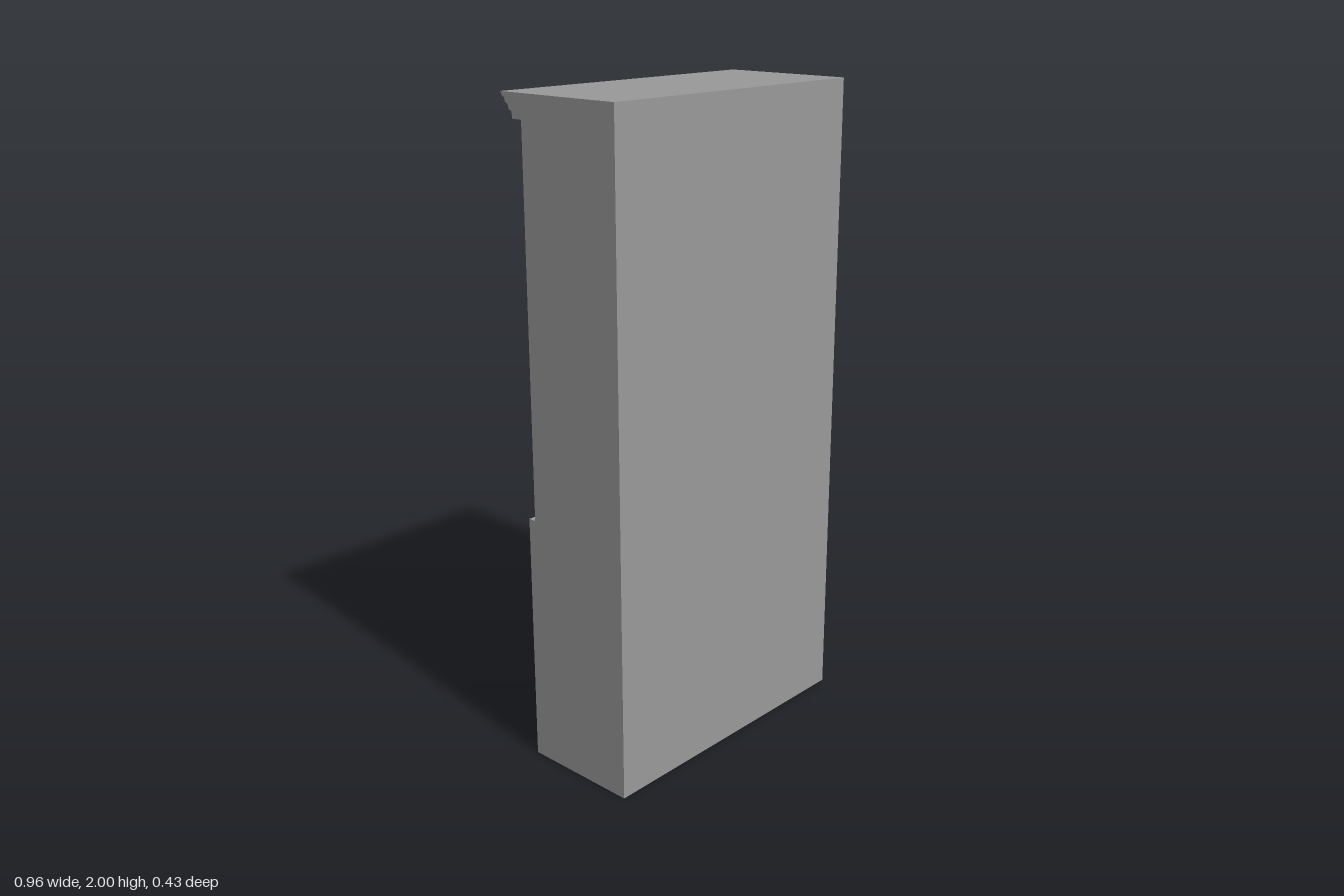
import * as THREE from 'three';

export function createModel() {
  const group = new THREE.Group();
  const paint = new THREE.MeshStandardMaterial({ color: 0x999999 });
  paint.name = 'grey paint';

  const add = (name, geometry) => {
    const mesh = new THREE.Mesh(geometry, paint);
    mesh.name = name;
    group.add(mesh);
    return mesh;
  };
  const box = (name, x0, x1, y0, y1, z0, z1) => add(name,
    new THREE.BoxGeometry(x1 - x0, y1 - y0, z1 - z0)
      .translate((x0 + x1) / 2, (y0 + y1) / 2, (z0 + z1) / 2));
  const polygon = (points) => points.map(([x, y]) => new THREE.Vector2(x, y));
  const rect = (x0, x1, y0, y1) => new THREE.Path(polygon([[x0, y0], [x1, y0], [x1, y1], [x0, y1]]));
  const plate = (name, shape, z0, z1) => add(name,
    new THREE.ExtrudeGeometry(shape, { depth: z1 - z0, bevelEnabled: false, curveSegments: 12 })
      .translate(0, 0, z0));

  // Nested rectangles [x0, x1, y0, y1, z] joined by slopes and capped, facing -z
  const steppedPanel = (steps) => {
    const loops = steps.map(([x0, x1, y0, y1, z]) => [[x0, y0, z], [x1, y0, z], [x1, y1, z], [x0, y1, z]]);
    const pos = [];
    const quad = (a, b, c, d) => pos.push(...a, ...b, ...c, ...a, ...c, ...d);
    for (let k = 0; k + 1 < loops.length; k++) {
      const A = loops[k], B = loops[k + 1];
      for (let i = 0; i < 4; i++) {
        if (i === 0 && A[0][1] === B[0][1]) continue; // open at the floor
        const j = (i + 1) % 4;
        quad(A[i], B[i], B[j], A[j]);
      }
    }
    const [a, b, c, d] = loops[loops.length - 1];
    quad(a, d, c, b);
    const g = new THREE.BufferGeometry();
    g.setAttribute('position', new THREE.Float32BufferAttribute(pos, 3));
    g.computeVertexNormals();
    return g;
  };

  const W = 0.48, IN = 0.35, BACK = 0.215;

  // Carcass
  box('baseCabinet', -W, W, 0, 0.78, -0.11, BACK);
  box('leftSide', IN, W, 0.78, 2, -0.115, BACK);
  box('rightSide', -W, -IN, 0.78, 2, -0.115, BACK);
  box('backPanel', -IN, IN, 0.78, 2, 0.13, BACK);
  box('topPanel', -IN, IN, 1.89, 2, -0.115, 0.13);

  // Shelves
  const shelves = [[1.117, 1.17], [1.507, 1.56]];
  for (const [y0, y1] of shelves) box('shelf', -IN, IN, y0, y1, -0.12, 0.13);

  // Upper face frame with two square openings, an arched one and a groove on each side
  const frame = new THREE.Shape(polygon([[-W, 0.77], [W, 0.77], [W, 1.94], [-W, 1.94]]));
  frame.holes.push(rect(-IN, IN, 0.785, 1.117), rect(-IN, IN, 1.17, 1.507));
  const arch = new THREE.Path();
  arch.moveTo(-IN, 1.56);
  arch.lineTo(IN, 1.56);
  arch.lineTo(IN, 1.727);
  arch.lineTo(0.327, 1.727);
  arch.absellipse(0.192, 1.727, 0.135, 0.138, 0, Math.PI / 2, false);
  arch.lineTo(0.192, 1.89);
  arch.lineTo(-0.192, 1.89);
  arch.lineTo(-0.192, 1.865);
  arch.absellipse(-0.192, 1.727, 0.135, 0.138, Math.PI / 2, Math.PI, false);
  arch.lineTo(-IN, 1.727);
  arch.closePath();
  frame.holes.push(arch, rect(0.395, 0.437, 0.828, 1.83), rect(-0.437, -0.395, 0.828, 1.83));
  plate('faceFrame', frame, -0.135, -0.115);

  // Crown moulding: profile of [distance forward, height] swept across the width
  const crown = new THREE.Shape(polygon([
    [0.115, 1.93], [0.17, 1.93], [0.173, 1.95], [0.183, 1.955], [0.188, 1.968],
    [0.198, 1.974], [0.2, 1.985], [0.209, 1.988], [0.215, 2], [0.115, 2],
  ]));
  add('crownMoulding', new THREE.ExtrudeGeometry(crown, { depth: 2 * W, bevelEnabled: false })
    .translate(0, 0, -W).rotateY(Math.PI / 2));

  // Lower frame: rail and three stiles
  const D0 = 0.035, D1 = 0.414, DT = 0.748;
  plate('lowerFrame', new THREE.Shape(polygon([
    [-W, 0], [-D1, 0], [-D1, DT], [-D0, DT], [-D0, 0], [D0, 0],
    [D0, DT], [D1, DT], [D1, 0], [W, 0], [W, 0.78], [-W, 0.78],
  ])), -0.16, -0.11);
  box('plinth', -W, W, 0, 0.1, -0.134, -0.1);

  // Doors: bevelled surround, sunk panel and raised centre field
  for (const [name, c] of [['leftDoor', 0.2245], ['rightDoor', -0.2245]]) {
    const h = (D1 - D0) / 2;
    const step = (half, y0, y1, z) => [c - half, c + half, y0, y1, z];
    add(name, steppedPanel([
      step(h, 0, DT, -0.16),
      step(h - 0.025, 0, 0.705, -0.136),
      step(0.147, 0.155, 0.587, -0.136),
      step(0.118, 0.19, 0.545, -0.114),
      step(0.09, 0.225, 0.503, -0.114),
      step(0.073, 0.245, 0.475, -0.134),
    ]));
  }
  return group;
}
